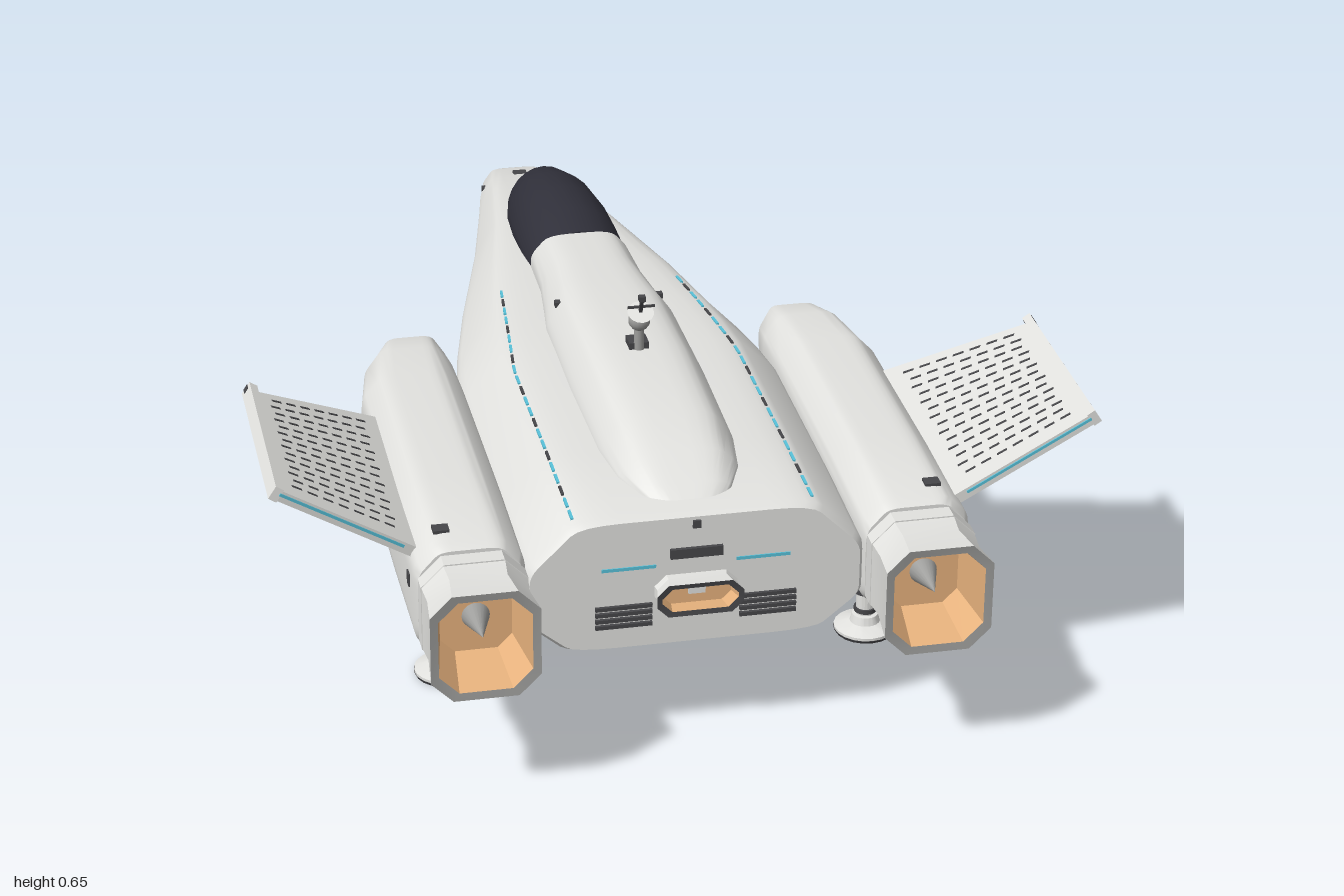
import * as THREE from 'three';
import { mergeGeometries, toCreasedNormals } from 'three/addons/utils/BufferGeometryUtils.js';

const V = (x, y, z) => new THREE.Vector3(x, y, z);
const lerp = THREE.MathUtils.lerp;
const mat = (name, color) => new THREE.MeshStandardMaterial({ name, color });

// Eight-cornered section, counter-clockwise seen from +z; r rounds the corners
function section({ z, cx = 0, w, wt, wb, yB, yLo, yHi, yT, r = 0.18, steps = 5, tilt = 0 }) {
  const c = [[wb, yB], [w, yLo], [w, yHi], [wt, yT], [-wt, yT], [-w, yHi], [-w, yLo], [-wb, yB]]
    .map(([x, y]) => V(cx + x, y, z + tilt * (yT - y)));
  return c.flatMap((p, i) => {
    if (steps === 1) return [p];
    const a = p.clone().lerp(c[(i + 7) % 8], r), b = p.clone().lerp(c[(i + 1) % 8], r);
    return new THREE.QuadraticBezierCurve3(a, p, b).getPoints(steps - 1);
  });
}

// Skin over equal-length rings, with optional flat end caps
function loft(rings, capStart = true, capEnd = true, crease = 0.6) {
  const n = rings[0].length, pts = rings.flat(), idx = [];
  for (let j = 0; j < rings.length - 1; j++)
    for (let i = 0; i < n; i++) {
      const a = j * n + i, b = j * n + (i + 1) % n;
      idx.push(a, b, b + n, a, b + n, a + n);
    }
  const last = (rings.length - 1) * n;
  for (let i = 1; i < n - 1; i++) {
    if (capStart) idx.push(0, i + 1, i);
    if (capEnd) idx.push(last, last + i, last + i + 1);
  }
  const g = new THREE.BufferGeometry().setFromPoints(pts);
  g.setIndex(idx);
  return toCreasedNormals(g, crease);
}

// Mirrored copy across x = 0 with corrected winding
function mirror(geo) {
  const g = geo.index ? geo.toNonIndexed() : geo.clone();
  g.scale(-1, 1, 1);
  for (const at of Object.values(g.attributes)) {
    const s = at.itemSize, a = at.array;
    for (let i = 0; i < a.length; i += 3 * s)
      for (let k = 0; k < s; k++) [a[i + k], a[i + 2 * s + k]] = [a[i + 2 * s + k], a[i + k]];
  }
  return g;
}

const box = (w, h, d, x, y, z) => new THREE.BoxGeometry(w, h, d).translate(x, y, z);
const cyl = (r1, r2, h, x, y, z, n = 20) => new THREE.CylinderGeometry(r1, r2, h, n).translate(x, y, z);
function bar(a, b, w, h) {
  const m = new THREE.Matrix4().lookAt(a, b, V(0, 1, 0)).setPosition(a.clone().lerp(b, 0.5));
  return new THREE.BoxGeometry(w, h, a.distanceTo(b)).applyMatrix4(m);
}

// Hull stations: z, half width, top y, bottom y, chine low y, chine high y
const HULL = [
  [-1, 0.018, 0.285, 0.255, 0.267, 0.274], [-0.988, 0.045, 0.3, 0.241, 0.268, 0.28], [-0.95, 0.067, 0.316, 0.229, 0.272, 0.288],
  [-0.85, 0.09, 0.342, 0.219, 0.277, 0.3], [-0.75, 0.109, 0.366, 0.213, 0.282, 0.31], [-0.5, 0.16, 0.41, 0.204, 0.29, 0.334],
  [-0.2, 0.234, 0.437, 0.196, 0.298, 0.352], [0, 0.277, 0.448, 0.19, 0.3, 0.362], [0.1, 0.294, 0.453, 0.187, 0.292, 0.366],
  [0.2, 0.304, 0.456, 0.185, 0.275, 0.37], [0.6, 0.304, 0.458, 0.185, 0.265, 0.37], [0.835, 0.299, 0.456, 0.199, 0.265, 0.368],
  [0.85, 0.29, 0.45, 0.206, 0.268, 0.364]];
function hullRing(z) {
  let i = 0;
  while (i < HULL.length - 2 && HULL[i + 1][0] < z) i++;
  const A = HULL[i], B = HULL[i + 1], t = (z - A[0]) / (B[0] - A[0]);
  const [w, yT, yB, yLo, yHi] = [1, 2, 3, 4, 5].map(k => lerp(A[k], B[k], t));
  return { z, w, yT, yB, yLo, yHi, wt: w * 0.7, wb: w * 0.74 };
}
function hullTop(x, z) {
  const p = section(hullRing(z)).filter(q => q.x > 0 && q.y > 0.31);
  for (let i = 0; i < p.length - 1; i++)
    if (p[i].x >= x && p[i + 1].x < x) return lerp(p[i].y, p[i + 1].y, (p[i].x - x) / (p[i].x - p[i + 1].x));
  return p[p.length - 1].y;
}

export function createModel() {
  const group = new THREE.Group();
  const hullGrey = mat('hull grey', 0xe2e2df), midGrey = mat('mid grey', 0x9c9c9a), dark = mat('dark grey', 0x464649);
  const glass = mat('canopy glass', 0x30303a), tan = mat('engine tan', 0xecb680), blue = mat('trim blue', 0x58c2da);
  const add = (name, geo, material) => {
    const m = new THREE.Mesh(Array.isArray(geo) ? mergeGeometries(geo) : geo, material);
    m.name = name;
    group.add(m);
  };
  const pair = (name, geo, material) => {
    const g = Array.isArray(geo) ? mergeGeometries(geo) : geo;
    add(name + 'Left', g, material);
    add(name + 'Right', mirror(g), material);
  };

  // Fuselage, dorsal hump and canopy
  add('fuselage', loft(HULL.map(s => section(hullRing(s[0])))), hullGrey);
  const hump = [[-0.21, 0.096, 0.5], [-0.08, 0.1, 0.51], [0.02, 0.112, 0.516], [0.1, 0.123, 0.522], [0.35, 0.126, 0.53],
    [0.6, 0.122, 0.522], [0.7, 0.108, 0.5], [0.77, 0.08, 0.473], [0.81, 0.05, 0.45]];
  add('dorsalHump', loft(hump.map(([z, w, yT]) => section({
    z, w, wt: w * 0.64, wb: w, yB: 0.4, yLo: 0.42, yHi: Math.min(0.462, yT - 0.01), yT, r: 0.32 }))), hullGrey);
  const canopy = [[-0.765, 0.006, 0.368], [-0.74, 0.026, 0.39], [-0.7, 0.046, 0.419], [-0.6, 0.075, 0.472], [-0.5, 0.093, 0.503],
    [-0.4, 0.1, 0.516], [-0.3, 0.101, 0.514], [-0.212, 0.097, 0.502]];
  add('canopy', loft(canopy.map(([z, w, top]) => {
    const base = hullRing(z).yT - 0.012;
    return Array.from({ length: 24 }, (_, i) => {
      const a = i / 24 * Math.PI * 2, s = Math.sin(a);
      return V(w * Math.cos(a), base + s * (s > 0 ? top - base : 0.02), z);
    });
  }), true, true, 1), glass);

  // Trim lines on the upper deck and just under the chine
  const deck = [], deckDark = [];
  for (let i = 0; i < 22; i++) {
    const at = t => {
      const z = lerp(-0.11, 0.83, t), x = z < 0.25 ? lerp(0.172, 0.21, (z + 0.11) / 0.36) : 0.21;
      return V(x, hullTop(x, z) + 0.001, z);
    };
    (i % 3 === 1 ? deckDark : deck).push(bar(at(i / 22), at((i + 0.7) / 22), 0.005, 0.004));
  }
  pair('deckTrim', deck, blue);
  pair('deckSeam', deckDark, dark);
  const stops = [-0.95, -0.85, -0.75, -0.5, -0.2, 0, 0.06];
  const chineLine = (f, h) => stops.slice(1).map((z, i) => {
    const [a, b] = [stops[i], z].map(s => {
      const q = hullRing(s);
      return V(lerp(q.w, q.wb, f), lerp(q.yLo, q.yB, f), s);
    });
    return bar(a, b, 0.005, h);
  });
  pair('chineTrim', chineLine(0.2, 0.006), blue);
  pair('chineSeam', chineLine(0.27, 0.003), dark);

  // Small hatches and sensors
  add('noseHatch', box(0.028, 0.006, 0.022, 0, 0.334, -0.88), dark);
  pair('noseSensor', box(0.008, 0.012, 0.016, 0.077, 0.303, -0.88), dark);
  pair('humpSensor', box(0.016, 0.01, 0.014, 0.095, 0.495, 0.08), dark);

  // Nozzle: outer shell, rim and tan throat
  const oct = (cx, cy, hw, hh, cut, z) => section({ z, cx, w: hw, wt: hw - cut, wb: hw - cut,
    yB: cy - hh, yLo: cy - hh + cut, yHi: cy + hh - cut, yT: cy + hh, steps: 1 });
  const nozzle = (name, put, rimMat, cx, cy, hw, hh, cut, z0, z1, lip, taper) => {
    const zm = lerp(z0, z1, 0.4);
    put(name + 'Shell', loft([oct(cx, cy, hw * 0.97, hh * 0.97, cut, z0), oct(cx, cy, hw * 0.93, hh * 0.94, cut, zm),
      oct(cx, cy, hw, hh, cut, z1)], true, false, 0.3), hullGrey);
    put(name + 'Rim', loft([oct(cx, cy, hw, hh, cut, z1), oct(cx, cy, hw - lip, hh - lip, cut * 0.9, z1 - 0.002)], false, false, 0.3), rimMat);
    put(name + 'Throat', loft([oct(cx, cy, hw - lip, hh - lip, cut * 0.9, z1 - 0.002),
      oct(cx, cy, hw * taper, hh * taper, cut * taper, z0 + 0.01)], false, true, 0.3), tan);
  };

  // Engine nacelles with raked intakes
  const X = 0.391;
  const nac = [[0, 0.365, 0.055, 0.412, 0.25], [0.02, 0.37, 0.07, 0.422, 0.232], [0.08, 0.382, 0.086, 0.43, 0.22],
    [0.2, X, 0.097, 0.436, 0.212], [0.6, X, 0.098, 0.438, 0.212], [0.83, X, 0.097, 0.435, 0.216], [0.85, X, 0.091, 0.428, 0.224]];
  pair('nacelle', loft(nac.map(([z, cx, w, yT, yB], i) => section({ z, cx, w, wt: w * 0.58, wb: w * 0.58, yB, yLo: yB + 0.042,
    yHi: yT - 0.042, yT, tilt: [0.35, 0.33, 0.25, 0.1, 0, 0, 0][i], r: 0.22 }))), hullGrey);
  pair('intakeSlats', [[0.378, 0.036], [0.364, 0.044], [0.35, 0.044], [0.336, 0.036], [0.295, 0.02]].map(([y, w]) =>
    box(w, 0.008, 0.006, 0.365, y, 0.35 * (0.412 - y))), dark);
  pair('engineCollar', loft([oct(X, 0.326, 0.086, 0.094, 0.04, 0.845), oct(X, 0.326, 0.086, 0.094, 0.04, 0.86)], true, true, 0.3), dark);
  pair('engineRing', loft([oct(X, 0.326, 0.092, 0.1, 0.04, 0.858), oct(X, 0.326, 0.092, 0.1, 0.04, 0.89)], true, true, 0.3), hullGrey);
  nozzle('engineNozzle', pair, midGrey, X, 0.326, 0.094, 0.101, 0.038, 0.885, 1, 0.014, 0.66);
  pair('engineSpike', new THREE.ConeGeometry(0.026, 0.08, 20).rotateX(Math.PI / 2).translate(X, 0.326, 0.93), midGrey);
  pair('nacelleHatch', [box(0.006, 0.024, 0.02, 0.488, 0.35, 0.79), box(0.028, 0.006, 0.024, 0.432, 0.437, 0.785)], dark);

  // Raised fins, slotted on both faces
  const finM = new THREE.Matrix4().makeRotationZ(0.574).setPosition(0.45, 0.392, 0);
  const span = 0.3, lead = u => lerp(0.285, 0.445, u), trail = u => lerp(0.785, 0.815, u);
  const plan = new THREE.Shape([[0, lead(0)], [span, lead(1)], [span, trail(1)], [0, trail(0)]].map(p => new THREE.Vector2(...p)));
  const fin = new THREE.ExtrudeGeometry(plan, { depth: 0.02, bevelEnabled: false }).rotateX(Math.PI / 2);
  pair('fin', fin.applyMatrix4(finM), hullGrey);
  const slots = [];
  for (let i = 0; i < 14; i++)
    for (let k = 0; k < 7; k++) {
      const at = u => V(u * span, -0.01, lerp(lead(u), trail(u), (i + 1) / 15.5));
      const u = 0.2 + k * 0.105 + (i % 2) * 0.02;
      slots.push(bar(at(u), at(u + 0.065), 0.0048, 0.022).applyMatrix4(finM));
    }
  pair('finSlots', slots, dark);
  pair('finTrailingTrim', bar(V(0.05, -0.007, 0.79), V(span, -0.007, 0.815), 0.004, 0.005).applyMatrix4(finM), blue);
  pair('finTipRail', box(0.016, 0.026, 0.39, span + 0.005, -0.01, 0.62).applyMatrix4(finM), hullGrey);
  pair('finTipLight', box(0.018, 0.012, 0.014, span + 0.005, -0.01, 0.43).applyMatrix4(finM), dark);

  // Stern panel: slot thruster, vents and stripes
  nozzle('sternThruster', add, dark, 0, 0.311, 0.076, 0.031, 0.02, 0.845, 0.89, 0.009, 0.8);
  add('sternThrusterCore', box(0.03, 0.012, 0.006, 0, 0.311, 0.857), hullGrey);
  pair('sternVents', [0, 1, 2, 3].map(i => box(0.1, 0.007, 0.01, 0.127, 0.251 + i * 0.012, 0.851)), dark);
  pair('sternStripe', box(0.095, 0.006, 0.004, 0.118, 0.361, 0.85), blue);
  add('sternHatch', [box(0.092, 0.018, 0.012, 0, 0.383, 0.851), box(0.014, 0.014, 0.008, 0, 0.437, 0.851)], dark);

  // Belly plate, access outline and two small blades
  const belly = [[-0.42, 0.07, 0.195], [-0.36, 0.085, 0.174], [0.46, 0.135, 0.168], [0.52, 0.145, 0.182]];
  add('bellyPlate', loft(belly.map(([z, w, yB]) => section({ z, w, wt: w, wb: w * 0.9, yB, yLo: yB + 0.012, yHi: 0.208, yT: 0.215, steps: 1 })), true, true, 0.3), hullGrey);
  const outline = [[-0.05, -0.28], [0.05, -0.28], [0.05, 0.02], [-0.05, 0.02], [-0.05, -0.28]].map(([x, z]) => V(x, 0.173 - (z + 0.28) * 0.007, z));
  add('bellyOutline', outline.slice(1).flatMap((p, i) => Array.from({ length: 6 }, (_, k) =>
    bar(outline[i].clone().lerp(p, k / 6), outline[i].clone().lerp(p, (k + 0.7) / 6), 0.004, 0.004))), dark);
  const blade = new THREE.Shape([[0, 0], [0.055, 0], [0.04, -0.032], [0.03, -0.032]].map(p => new THREE.Vector2(...p)));
  [0.21, 0.335].forEach((z, i) => add('bellyBlade' + (i + 1),
    new THREE.ExtrudeGeometry(blade, { depth: 0.01, bevelEnabled: false }).rotateY(-Math.PI / 2).translate(0.005, 0.171, z), midGrey));

  // Landing gear
  const lathe = pts => toCreasedNormals(new THREE.LatheGeometry(pts.map(p => new THREE.Vector2(...p)), 20), 0.6);
  [['noseGear', 0, -0.605], ['leftGear', X, 0.535], ['rightGear', -X, 0.535]].forEach(([name, x, z]) => {
    add(name + 'Strut', lathe([[0.057, 0.004], [0.057, 0.011], [0.028, 0.02], [0.024, 0.035], [0.017, 0.036], [0.017, 0.13],
      [0.021, 0.131], [0.021, 0.235]]).translate(x, 0, z), hullGrey);
    add(name + 'Rings', [0.045, 0.085, 0.132, 0.192].map((y, i) => cyl(0.021 + i * 0.002, 0.021 + i * 0.002, 0.008, x, y, z)), dark);
    add(name + 'Sole', cyl(0.058, 0.055, 0.006, x, 0.003, z), dark);
  });

  // Dorsal antenna
  add('antennaBase', box(0.036, 0.018, 0.036, 0, 0.533, 0.345), dark);
  add('antennaPost', cyl(0.008, 0.01, 0.06, 0, 0.56, 0.36, 12), midGrey);
  add('antennaBall', new THREE.SphereGeometry(0.02, 16, 12).translate(0, 0.588, 0.362), midGrey);
  add('antennaDish', new THREE.CylinderGeometry(0.024, 0.01, 0.01, 16).rotateX(0.5).translate(0, 0.605, 0.372), hullGrey);
  add('antennaMast', [bar(V(0, 0.6, 0.368), V(0, 0.645, 0.388), 0.006, 0.006), box(0.05, 0.004, 0.004, 0, 0.622, 0.378),
    box(0.012, 0.01, 0.012, 0, 0.642, 0.386)], dark);
  return group;
}
